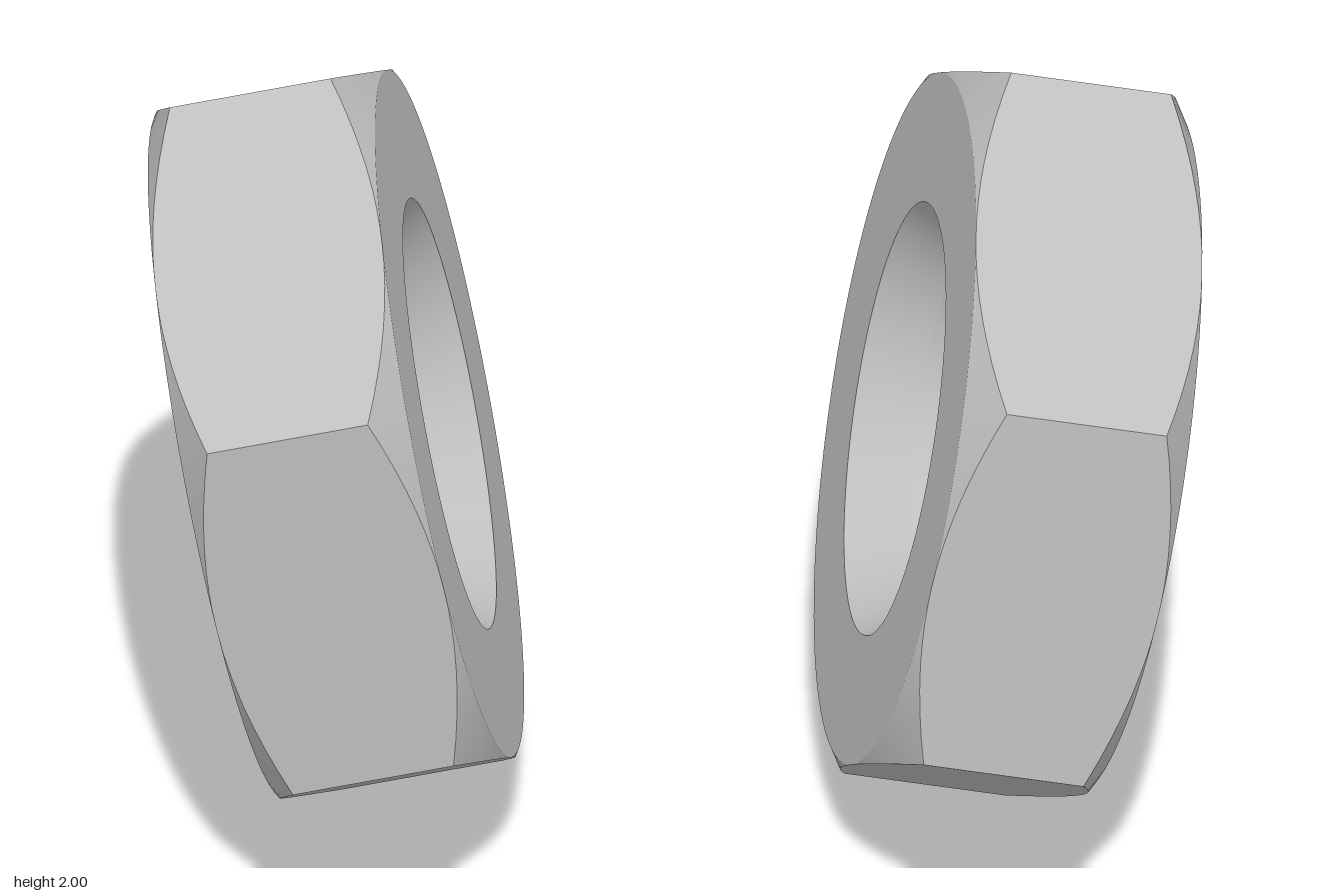
import * as THREE from 'three';
import { toCreasedNormals } from 'three/addons/utils/BufferGeometryUtils.js';

const SEGMENTS = 96;      // multiple of six, so corners land on vertices
const FLAT_R = 0.85;      // centre to flat side
const CORNER_R = FLAT_R / Math.cos(Math.PI / 6);
const HALF = 0.283;       // half thickness at the faces
const CORNER_HALF = 0.2;  // half thickness at the chamfered corners
const RIM_R = 0.533;      // hole at the faces
const BORE_R = 0.457;     // hole inside the countersinks
const BORE_HALF = 0.14;

// Closed cross-section [radius, height] at one angle around the axis
function section(angle) {
  const sector = Math.PI / 3;
  const local = ((angle + 1e-9) % sector) - sector / 2;
  const r = FLAT_R / Math.cos(local);
  const h = HALF - (HALF - CORNER_HALF) * (r - FLAT_R) / (CORNER_R - FLAT_R);
  const upper = [[BORE_R, BORE_HALF], [RIM_R, HALF], [FLAT_R, HALF], [r, h]];
  const lower = upper.map(([a, b]) => [a, -b]).reverse();
  return [...upper, ...lower];
}

// Hexagonal ring swept around z with chamfered corners and countersunk bore
function nutGeometry() {
  const positions = [];
  const index = [];
  const count = 8;
  for (let i = 0; i < SEGMENTS; i++) {
    const angle = (i / SEGMENTS) * Math.PI * 2;
    for (const [r, h] of section(angle)) {
      positions.push(r * Math.cos(angle), r * Math.sin(angle), h);
    }
    const next = (i + 1) % SEGMENTS;
    for (let j = 0; j < count; j++) {
      const k = (j + 1) % count;
      const a = i * count + j, b = i * count + k;
      const c = next * count + k, d = next * count + j;
      index.push(a, b, c, a, c, d);
    }
  }
  const geometry = new THREE.BufferGeometry();
  geometry.setAttribute('position', new THREE.Float32BufferAttribute(positions, 3));
  geometry.setIndex(index);
  return toCreasedNormals(geometry, 0.4);
}

export function createModel() {
  const group = new THREE.Group();
  group.name = 'hexNut';
  const steel = new THREE.MeshStandardMaterial({ color: 0xbfbfbf });
  steel.name = 'steel grey';

  const nut = new THREE.Mesh(nutGeometry(), steel);
  nut.name = 'nutBody';

  // Tilt: bore axis and the direction of the topmost corner
  const axis = new THREE.Vector3(0.861, 0.212, 0.462).normalize();
  const side = new THREE.Vector3().crossVectors(axis, new THREE.Vector3(-0.205, 0.955, -0.06)).normalize();
  const corner = new THREE.Vector3().crossVectors(side, axis);
  nut.quaternion.setFromRotationMatrix(new THREE.Matrix4().makeBasis(corner, side, axis));
  nut.position.y = 1;

  group.add(nut);
  return group;
}
